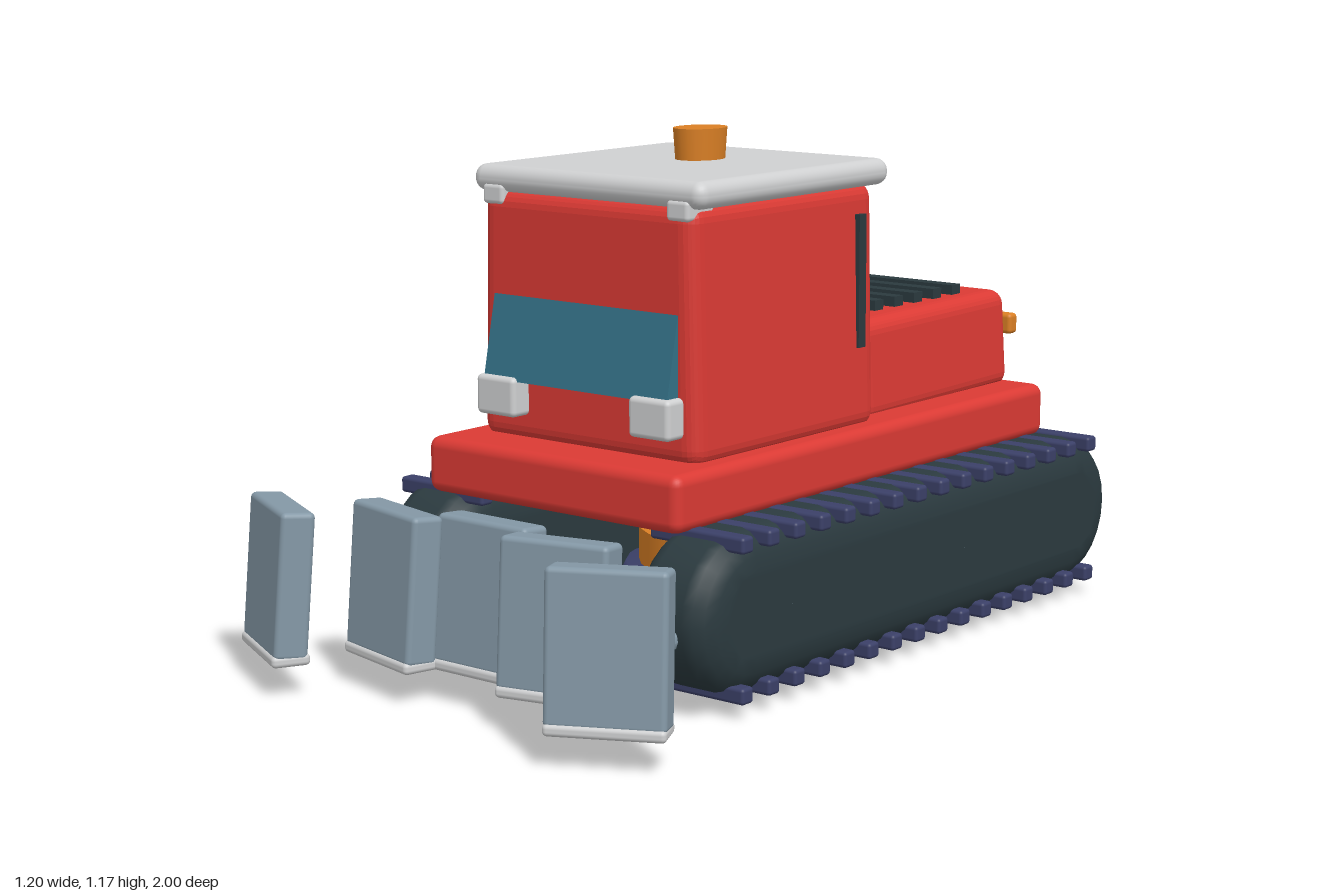
import * as THREE from 'three';
import { mergeVertices } from 'three/addons/utils/BufferGeometryUtils.js';
import { RoundedBoxGeometry } from 'three/addons/geometries/RoundedBoxGeometry.js';

const material = (name, color) => {
  const m = new THREE.MeshStandardMaterial({ color });
  m.name = name;
  return m;
};

export function createModel() {
  const red = material('red paint', 0xdb3a34);
  const glass = material('teal glass', 0x347187);
  const steel = material('blue grey steel', 0x8498a6);
  const rubber = material('dark rubber', 0x2b3a3f);
  const navy = material('navy tread', 0x3b4068);
  const white = material('light grey', 0xcfd0d1);
  const orange = material('orange', 0xdb8025);

  const model = new THREE.Group();
  model.name = 'trackedPlough';

  const add = (name, geometry, mat, x = 0, y = 0, z = 0, parent = model) => {
    const mesh = new THREE.Mesh(geometry, mat);
    mesh.name = name;
    mesh.position.set(x, y, z);
    parent.add(mesh);
    return mesh;
  };
  const box = (w, h, d) => new THREE.BoxGeometry(w, h, d);
  const round = (w, h, d, r) => new RoundedBoxGeometry(w, h, d, 3, r);
  // Narrows a box evenly from the bottom (scale 1) to the top
  const taper = (geometry, h, topX, topZ = 1) => {
    const p = geometry.attributes.position;
    for (let i = 0; i < p.count; i++) {
      const t = p.getY(i) / h + 0.5;
      p.setX(i, p.getX(i) * (1 + (topX - 1) * t));
      p.setZ(i, p.getZ(i) * (1 + (topZ - 1) * t));
    }
    geometry.computeVertexNormals();
    return geometry;
  };

  // Chassis, cab and roof
  add('chassis', round(0.715, 0.125, 1.41, 0.025), red, 0, 0.443, -0.155);
  add('cab', taper(round(0.62, 0.56, 0.655, 0.04), 0.56, 0.96), red, 0, 0.77, 0.1);
  add('roof', round(0.65, 0.06, 0.68, 0.028), white, 0, 1.07, 0.09);
  const beacon = add('beacon', new THREE.CylinderGeometry(0.055, 0.05, 0.08, 20), orange, 0, 1.13, 0.03);
  beacon.scale.z = 1.27;

  // Engine hood with vents
  const hood = add('hood', taper(round(0.53, 0.235, 0.61, 0.035), 0.235, 0.95), red, 0, 0.607, -0.545);
  hood.rotation.x = 0.015;
  for (let i = 0; i < 5; i++) {
    add('hoodVent', box(0.39, 0.024, 0.034), rubber, 0, 0.738, -0.39 - i * 0.08);
  }

  // Sloping windscreen
  const screen = new THREE.Shape([
    new THREE.Vector2(0.4, 0.635), new THREE.Vector2(0.465, 0.635),
    new THREE.Vector2(0.42, 0.855), new THREE.Vector2(0.4, 0.855),
  ]);
  const screenGeometry = new THREE.ExtrudeGeometry(screen, { depth: 0.52, bevelEnabled: false });
  screenGeometry.translate(0, 0, -0.26).rotateY(-Math.PI / 2);
  add('windscreen', screenGeometry, glass);

  // Rear and side windows
  add('rearWindow', box(0.5, 0.3, 0.009), glass, 0.02, 0.84, -0.2285);
  add('rearWindowDivider', box(0.026, 0.25, 0.03), rubber, 0, 0.88, -0.24);
  const sideWindow = add('sideWindow', box(0.009, 0.33, 0.47), glass, -0.3045, 0.765, 0.145);
  sideWindow.rotation.z = -0.022;

  for (const s of [-1, 1]) {
    add('doorHandleBar', box(0.02, 0.3, 0.026), rubber, s * 0.302, 0.83, -0.16);
    add('roofLamp', round(0.06, 0.045, 0.09, 0.01), white, s * 0.26, 1.037, 0.387);
    add('headlight', round(0.112, 0.088, 0.06, 0.012), white, s * 0.218, 0.6, 0.448);
    add('rearLamp', round(0.09, 0.05, 0.035, 0.01), orange, s * 0.22, 0.643, -0.862);
  }

  // Track belt outline with rounded ends and a rounded cross-section
  const outline = new THREE.Shape();
  outline.absarc(0.435, 0.21, 0.175, -Math.PI / 2, Math.PI / 2, false);
  outline.absarc(-0.825, 0.21, 0.175, Math.PI / 2, Math.PI * 1.5, false);
  let belt = new THREE.ExtrudeGeometry(outline, {
    depth: 0.09, curveSegments: 6, bevelSize: 0.08, bevelThickness: 0.06, bevelOffset: -0.08, bevelSegments: 4,
  });
  belt.translate(0, 0, -0.045).rotateY(-Math.PI / 2);
  belt.deleteAttribute('normal');
  belt.deleteAttribute('uv');
  belt = mergeVertices(belt, 1e-4);
  belt.computeVertexNormals();

  const wheel = new THREE.SphereGeometry(0.145, 24, 14).scale(0.69, 1, 1);
  const cleat = round(0.25, 0.036, 0.038, 0.008);
  for (const s of [-1, 1]) {
    const track = new THREE.Group();
    track.name = s > 0 ? 'leftTrack' : 'rightTrack';
    model.add(track);
    add('trackBelt', belt, rubber, s * 0.37, 0, 0, track);
    for (let i = 0; i < 4; i++) add('roadWheel', wheel, steel, s * 0.375, 0.21, 0.31 - i * 0.325, track);
    for (let i = 0; i < 16; i++) {
      const z = 0.48 - i * 0.09;
      add('upperCleat', cleat, navy, s * 0.365, 0.37, z, track);
      add('lowerCleat', cleat, navy, s * 0.365, 0.05, z, track);
    }
    // Pointed plough arm
    const arm = add('ploughArm', new THREE.ConeGeometry(0.042, 0.2, 12), steel, s * 0.383, 0.177, 0.65);
    arm.quaternion.setFromUnitVectors(
      new THREE.Vector3(0, 1, 0), new THREE.Vector3(s * 0.18, -0.12, 1).normalize());
  }

  // Spare wheel slung flat under the chassis
  const tyre = [[0.1, 0.1], [0.11, 0.045], [0.15, 0.033], [0.22, 0.042], [0.28, 0.07], [0.3, 0.11], [0.28, 0.15], [0.1, 0.16]]
    .map(([r, y]) => new THREE.Vector2(r, y));
  add('spareTyre', new THREE.LatheGeometry(tyre, 28), navy, 0, 0, -0.14);
  const hub = [[0, 0], [0.05, 0.006], [0.09, 0.03], [0.115, 0.06]].map(([r, y]) => new THREE.Vector2(Math.max(r, 0.0001), y));
  add('spareHub', new THREE.LatheGeometry(hub, 14), steel, 0, 0, -0.14);
  add('spareMount', new THREE.CylinderGeometry(0.25, 0.25, 0.09, 28), orange, 0, 0.19, -0.14);
  add('spareMountCap', new THREE.CylinderGeometry(0.23, 0.23, 0.16, 28), white, 0, 0.31, -0.14);

  // Five plough panels, each with a pale cutting lip
  const panels = [[0, 0.735, 0], [0.235, 0.78, 0.23], [0.468, 0.895, 0.47]];
  const addPanel = (x, z, turn) => {
    const panel = new THREE.Group();
    panel.name = 'ploughPanel';
    panel.position.set(x, 0, z);
    panel.rotation.y = turn;
    model.add(panel);
    const plate = add('panelPlate', round(0.25, 0.32, 0.075, 0.012), steel, 0, 0.24, 0, panel);
    plate.rotation.x = -0.08;
    add('panelLip', round(0.25, 0.026, 0.085, 0.01), white, 0, 0.08, 0.012, panel);
  };
  for (const [x, z, turn] of panels) {
    addPanel(x, z, turn);
    if (x > 0) addPanel(-x, z, -turn);
  }

  return model;
}
